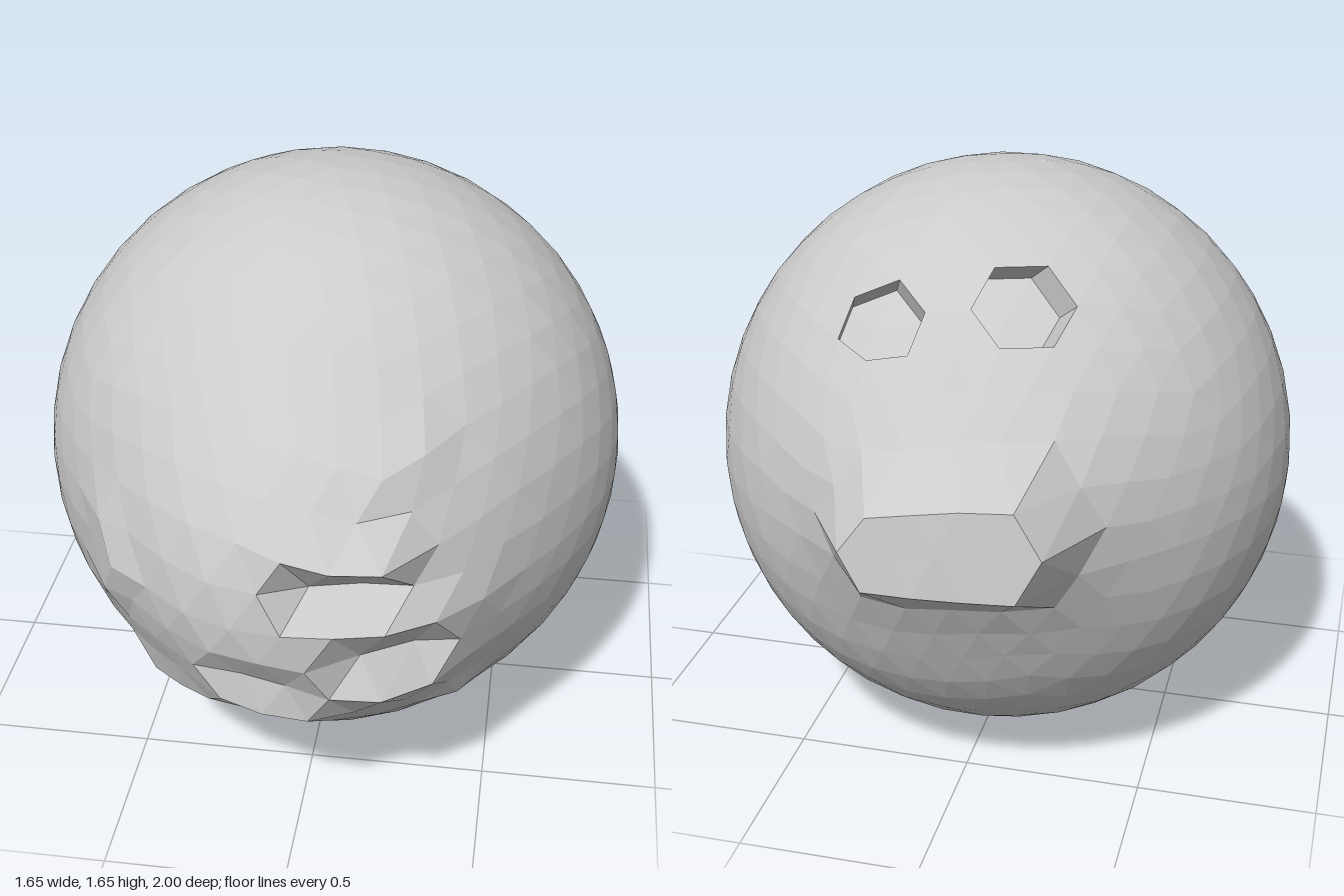
import * as THREE from 'three';

const R = 0.825, CY = 0.825;

// Pole-up icosphere by repeated edge halving; returns shared points and triangles
function icosphere(levels) {
  const ring = (deg, y) => [0, 1, 2, 3, 4].map(k => {
    const t = THREE.MathUtils.degToRad(deg + 72 * k), r = Math.sqrt(1 - y * y);
    return new THREE.Vector3(r * Math.sin(t), y, r * Math.cos(t));
  });
  const h = 1 / Math.sqrt(5);
  const points = [new THREE.Vector3(0, 1, 0), ...ring(18, h), ...ring(-18, -h), new THREE.Vector3(0, -1, 0)];
  let faces = [];
  for (let k = 0; k < 5; k++) {
    const n = (k + 1) % 5, u = 1 + k, u2 = 1 + n, l = 6 + k, l2 = 6 + n;
    faces.push([0, u, u2], [u, l, l2], [u, l2, u2], [11, l2, l]);
  }
  for (let i = 0; i < levels; i++) {
    const mids = new Map();
    const mid = (a, b) => {
      const key = Math.min(a, b) + '_' + Math.max(a, b);
      if (!mids.has(key)) {
        mids.set(key, points.length);
        points.push(points[a].clone().add(points[b]).normalize());
      }
      return mids.get(key);
    };
    faces = faces.flatMap(([a, b, c]) => {
      const ab = mid(a, b), bc = mid(b, c), ca = mid(c, a);
      return [[a, ab, ca], [ab, b, bc], [ca, bc, c], [ab, bc, ca]];
    });
  }
  points.forEach(p => { p.multiplyScalar(R); p.y += CY; });
  return { points, faces };
}

function nearest(points, score) {
  let best = 0, low = Infinity;
  points.forEach((p, i) => { const s = score(p); if (s < low) { low = s; best = i; } });
  return best;
}

// Single lumps on the rough front: x, y, push along z
const LUMPS = [
  [0.01, 1.05, 0.02], [0.13, 1.05, 0.03], [0.25, 1.05, 0.07],
  [0.06, 0.94, -0.08], [0.19, 0.94, -0.09], [0.31, 0.94, -0.03],
  [0.25, 0.83, 0.01], [0.37, 0.83, 0.02], [0.48, 0.83, 0.02],
  [0.19, 0.72, -0.07], [0.31, 0.72, -0.08], [0.37, 0.6, 0.04], [0.24, 0.6, 0.04],
  [0, 0.61, -0.04], [-0.13, 0.62, -0.04], [-0.18, 0.53, 0.03], [-0.06, 0.5, 0.03],
  [0.05, 0.49, 0.03], [-0.23, 0.46, 0.03], [-0.38, 0.42, 0.05], [-0.3, 0.45, 0.04],
  [0.42, 0.42, 0.03], [0.13, 1.23, 0.01], [0.23, 1.2, 0.03], [0.3, 1.23, 0.03],
  [-0.48, 0.83, 0.04], [-0.54, 0.72, 0.04], [-0.55, 0.94, 0.03],
];

export function createModel() {
  const group = new THREE.Group();
  const { points, faces } = icosphere(3);
  const sphere = points.map(p => p.clone());

  points.forEach(p => {
    if (p.z > 0) {
      // Broad swelling of the front
      const d = Math.hypot(p.x - 0.03, p.y - 0.82);
      p.z += 0.17 * (1 - THREE.MathUtils.smoothstep(d, 0.15, 0.75));
    } else {
      // Flat six-sided snout on the back, with a short flare around its root
      const dx = p.x - THREE.MathUtils.clamp(p.x, -0.2, 0.07);
      const d = Math.hypot(dx, p.y - 0.94);
      if (d < 0.14) p.z = -1 + 0.14 * (p.y - 0.83) - 0.12 * Math.min(0, p.x + 0.05);
      else p.z -= 0.09 * Math.max(0, 1 - (d - 0.14) / 0.3) ** 2;
    }
  });
  for (const [x, y, push] of LUMPS) {
    const i = nearest(sphere, p => (p.z > 0 ? Math.hypot(p.x - x, p.y - y) : 9));
    points[i].z += push;
  }

  // Eye sockets: the fan of faces round one point is sunk in, with walls
  let skin = faces;
  for (const [x, y, z] of [[-0.17, 1.44, -0.52], [0.19, 1.38, -0.58]]) {
    const centre = nearest(sphere, p => Math.hypot(p.x - x, p.y - y, p.z - z));
    const sink = sphere[centre].clone().sub(new THREE.Vector3(0, CY, 0))
      .setLength(-0.07).add(new THREE.Vector3(0.04, 0, 0));
    const copies = new Map();
    const sunk = i => {
      if (!copies.has(i)) {
        copies.set(i, points.length);
        points.push(points[i].clone().add(sink));
      }
      return copies.get(i);
    };
    skin = skin.flatMap(f => {
      const k = f.indexOf(centre);
      if (k < 0) return [f];
      const a = f[(k + 1) % 3], b = f[(k + 2) % 3];
      return [[sunk(centre), sunk(a), sunk(b)], [a, b, sunk(b)], [a, sunk(b), sunk(a)]];
    });
  }

  const geometry = new THREE.BufferGeometry().setFromPoints(points);
  geometry.setIndex(skin.flat());
  geometry.computeVertexNormals();
  const body = new THREE.Mesh(geometry,
    new THREE.MeshStandardMaterial({ color: 0xcccccc, flatShading: true }));
  body.name = 'roundBody';
  group.add(body);
  return group;
}
